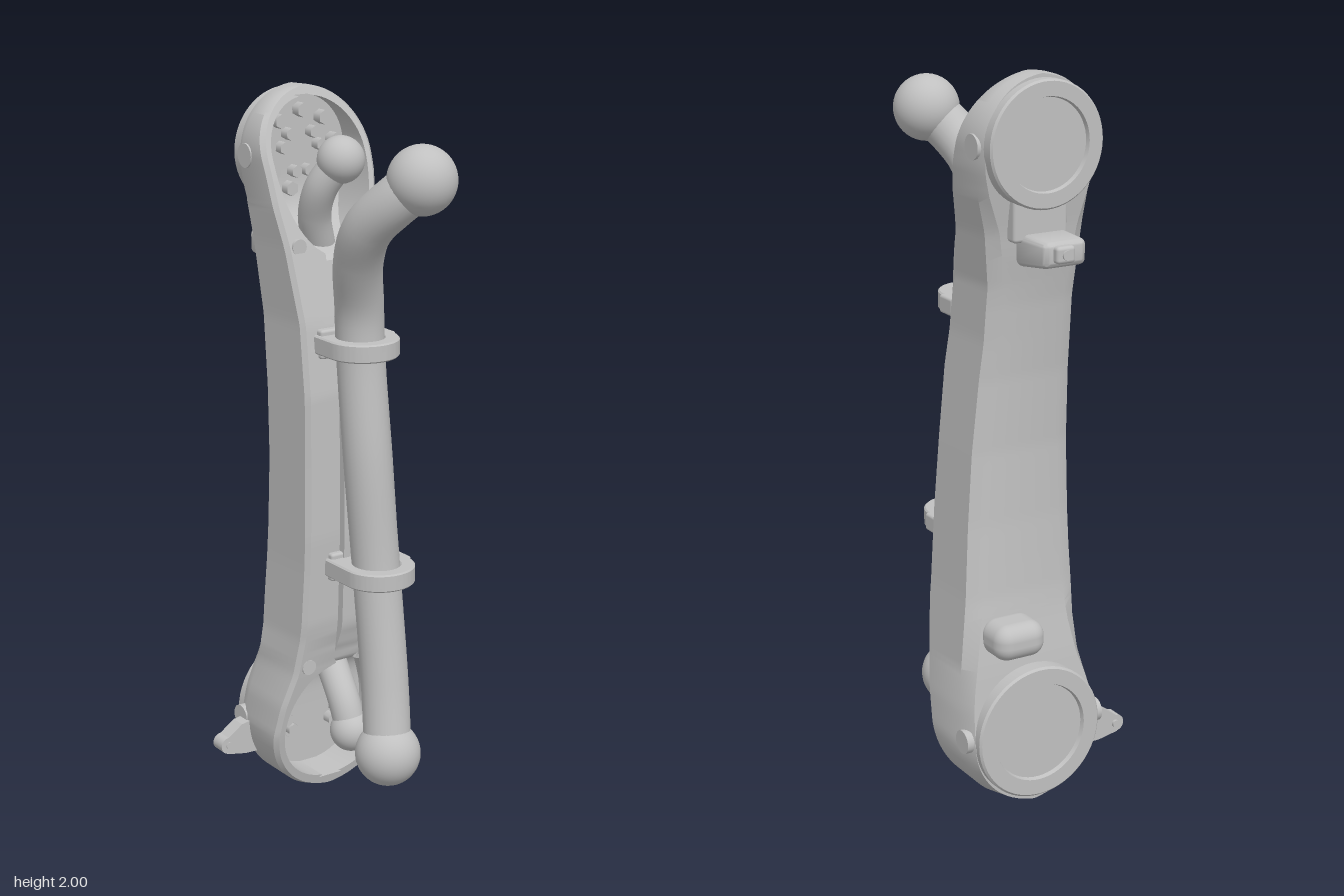
import * as THREE from 'three';
import { toCreasedNormals } from 'three/addons/utils/BufferGeometryUtils.js';
import { RoundedBoxGeometry } from 'three/addons/geometries/RoundedBoxGeometry.js';

const CX = 0.045, TOP = 1.825, BOTTOM = 0.215;
const V = (x, y, z) => new THREE.Vector3(x, y, z);

// Piecewise interpolation through [y, value] pairs
function curve(pairs) {
  return (y) => {
    let i = 0;
    while (i < pairs.length - 2 && y > pairs[i + 1][0]) i++;
    const [a, va] = pairs[i], [b, vb] = pairs[i + 1];
    return va + (vb - va) * THREE.MathUtils.clamp((y - a) / (b - a), 0, 1);
  };
}
const frontZ = curve([[0, -0.105], [0.2, -0.06], [0.4, -0.022], [0.55, 0], [0.8, 0.01], [1.2, 0.008], [1.4, -0.015], [1.6, -0.065], [1.8, -0.135], [2, -0.22]]);
const backZ = curve([[0, -0.265], [0.2, -0.272], [0.4, -0.25], [0.6, -0.222], [0.8, -0.208], [1, -0.202], [1.2, -0.208], [1.4, -0.225], [1.6, -0.25], [1.8, -0.285], [2, -0.285]]);
const rightX = curve([[0.215, 0.255], [0.3, 0.253], [0.4, 0.243], [0.6, 0.222], [1, 0.19], [1.3, 0.162], [1.45, 0.158], [1.6, 0.177], [1.7, 0.205], [1.77, 0.217], [1.825, 0.22]]);
const leftX = curve([[0.215, -0.165], [0.3, -0.153], [0.4, -0.123], [0.5, -0.11], [0.7, -0.103], [1, -0.1], [1.4, -0.1], [1.6, -0.114], [1.7, -0.125], [1.825, -0.13]]);
// Width and depth of the bevel along the back edge
const bevelX = curve([[0, 0.02], [0.35, 0.022], [0.6, 0.042], [1.4, 0.042], [1.6, 0.03], [1.75, 0.012], [2, 0.012]]);
const bevelZ = curve([[0, 0.05], [0.35, 0.045], [0.6, 0.022], [1.4, 0.022], [1.6, 0.024], [1.75, 0.03], [2, 0.03]]);

// Half width of the teardrop hollows and the height of their floor
function hollow(y) {
  const ends = [[TOP, 0.148, 0.15, 0.26, -0.25], [BOTTOM, 0.18, 0.2, 0.18, -0.21]];
  for (const [c, w, up, down, floor] of ends) {
    const t = (y - c) / (y > c ? up : down);
    if (Math.abs(t) >= 1) continue;
    const inward = (y > c) === (c === BOTTOM);
    return [w * Math.sqrt(1 - t * t), THREE.MathUtils.lerp(floor, frontZ(y), inward ? t ** 4 : 0)];
  }
  const t = THREE.MathUtils.clamp((y - 0.45) / 0.95, 0, 1);
  return [0.04, frontZ(y) + 0.022 * Math.min(1, 4 * Math.sin(Math.PI * t))];
}

// One cross-section of the arm, running left, front, right
function section(y) {
  let l = leftX(y), r = rightX(y);
  if (y < BOTTOM || y > TOP) {
    const [c, R] = y < BOTTOM ? [BOTTOM, 0.21] : [TOP, 0.175];
    const w = Math.sqrt(Math.max(0, R * R - (y - c) ** 2));
    l = CX - w; r = CX + w;
  }
  const half = (r - l) / 2, f = frontZ(y), b = backZ(y), side = b + bevelZ(y);
  const s = Math.min(bevelX(y), half * 0.5), e = Math.min(0.012, half * 0.3);
  let [w, floor] = hollow(y);
  w = Math.min(w, half * 0.6 + (half > 0.1 ? 0.4 * half - 0.02 : 0));
  return [[l + s, b], [l, side], [l, f - e], [l + e, f], [CX - w, f], [CX - w, floor],
    [CX + w, floor], [CX + w, f], [r - e, f], [r, f - e], [r, side], [r - s, b]];
}

function armGeometry() {
  const ys = [];
  for (let i = 0; i < 28; i++) ys.push(BOTTOM - 0.21 * Math.cos((i / 28) * Math.PI / 2));
  for (let i = 0; i < 90; i++) ys.push(BOTTOM + (TOP - BOTTOM) * i / 90);
  for (let i = 0; i <= 28; i++) ys.push(TOP + 0.175 * Math.sin((i / 28) * Math.PI / 2));
  const pos = [], idx = [], n = 12;
  ys.forEach((y, i) => {
    for (const [x, z] of section(y)) pos.push(x, y, z);
    if (!i) return;
    for (let j = 0; j < n; j++) {
      const a = (i - 1) * n + j, b = (i - 1) * n + (j + 1) % n;
      idx.push(a, b, b + n, a, b + n, a + n);
    }
  });
  const g = new THREE.BufferGeometry();
  g.setAttribute('position', new THREE.Float32BufferAttribute(pos, 3));
  g.setIndex(idx);
  return toCreasedNormals(g, 0.6);
}

export function createModel() {
  const root = new THREE.Group();
  root.name = 'armLink';
  const grey = new THREE.MeshStandardMaterial({ color: 0xc0c0c0 });
  grey.name = 'grey';
  const add = (name, geo, x = 0, y = 0, z = 0) => {
    const m = new THREE.Mesh(geo, grey);
    m.name = name;
    m.position.set(x, y, z);
    root.add(m);
    return m;
  };
  const rod = (r, h, sides = 16) => new THREE.CylinderGeometry(r, r, h, sides).rotateX(Math.PI / 2);

  add('armBody', armGeometry());

  // Joint flanges on the back
  for (const [y, R, z, h] of [[TOP, 0.165, -0.28, 0.036], [BOTTOM, 0.188, -0.265, 0.03]]) {
    const profile = [[R, -0.03], [R, h - 0.006], [R * 0.97, h], [R * 0.74, h], [R * 0.72, h - 0.012], [0, h - 0.012]]
      .map(([a, b]) => new THREE.Vector2(a, b));
    add('jointFlange', toCreasedNormals(new THREE.LatheGeometry(profile, 56).rotateX(-Math.PI / 2), 0.5), CX, y, z);
  }

  // Bolts in the hollows
  for (let i = 0; i < 9; i++) {
    const a = (i / 9) * Math.PI * 2 + Math.PI / 2;
    add('upperBolt', rod(0.02, 0.035, 6), CX + 0.108 * Math.cos(a), TOP + 0.108 * Math.sin(a), -0.238);
    if (i % 3) add('upperInnerBolt', rod(0.017, 0.035, 6), CX + 0.06 * Math.cos(a), TOP + 0.06 * Math.sin(a), -0.238);
  }
  for (const side of [-1, 1]) {
    for (let i = 0; i < 5; i++) {
      const a = -0.7 + i * 0.42;
      add('lowerBolt', rod(0.02, 0.035, 6), CX + side * 0.135 * Math.cos(a), BOTTOM + 0.135 * Math.sin(a), -0.198);
      if (i < 3) add('lowerInnerBolt', rod(0.018, 0.035, 6), CX + side * 0.09 * Math.cos(a), BOTTOM + 0.09 * Math.sin(a), -0.198);
    }
  }

  // Cover screws on the front and shallow round lugs on the sides
  for (const [x, y] of [[0.14, 1.61], [-0.075, 1.6], [0.185, 0.405], [-0.08, 0.42], [0.13, 0.62], [0.09, 1.44]])
    add('coverScrew', rod(y > 0.6 && y < 1.5 ? 0.013 : 0.022, 0.03), x, y, frontZ(y) - 0.011);
  for (const [y, R] of [[TOP, 0.168], [BOTTOM, 0.203]])
    for (const side of [-1, 1])
      add('sideLug', new THREE.CylinderGeometry(0.033, 0.033, 0.02, 20).rotateZ(Math.PI / 2), CX + side * R, y, -0.24);

  // Outer hose, inner hose ends and their ball ends
  const hose = (name, pts, r, balls) => {
    add(name, new THREE.TubeGeometry(new THREE.CatmullRomCurve3(pts), 60, r, 24));
    for (const [p, R] of balls) add(name + 'Ball', new THREE.SphereGeometry(R, 36, 24), p.x, p.y, p.z);
  };
  const top = V(0.043, 1.825, 0.318), low = V(0.042, 0.208, 0.19);
  hose('outerHose', [low, V(0.055, 0.4, 0.155), V(0.055, 0.72, 0.112), V(0.037, 1.05, 0.092), V(0.032, 1.34, 0.066),
    V(0.022, 1.46, 0.074), V(-0.015, 1.59, 0.122), V(-0.032, 1.69, 0.19), V(-0.005, 1.765, 0.265), top], 0.066,
  [[top, 0.091], [low, 0.091]]);
  const inTop = V(0.045, 1.825, -0.045), inLow = V(0.045, 0.21, 0.008);
  hose('upperInnerHose', [inTop, V(0.01, 1.75, -0.085), V(0.015, 1.67, -0.125), V(0.045, 1.58, -0.15)], 0.045, [[inTop, 0.064]]);
  hose('lowerInnerHose', [inLow, V(0.04, 0.29, -0.02), V(0.045, 0.38, -0.09)], 0.045, [[inLow, 0.06]]);

  // Hose clamps: a band around the hose with a foot on the arm and a side catch
  for (const [x, y, z, foot] of [[0.035, 1.345, 0.07, -0.03], [0.058, 0.715, 0.118, 0]]) {
    const R = 0.096, s = new THREE.Shape();
    s.absarc(0, 0, R, Math.PI, Math.PI * 2, false);
    s.lineTo(R, z - foot);
    s.lineTo(-R, z - foot);
    s.closePath();
    const hole = new THREE.Path();
    hole.absarc(0, 0, 0.063, 0, Math.PI * 2, true);
    s.holes.push(hole);
    const band = new THREE.ExtrudeGeometry(s, { depth: 0.042, bevelSize: 0.004, bevelThickness: 0.004, bevelSegments: 1, curveSegments: 24 });
    band.translate(0, 0, -0.021).rotateX(-Math.PI / 2);
    add('hoseClamp', toCreasedNormals(band, 0.5), x, y, z);
    add('clampCatch', new RoundedBoxGeometry(0.03, 0.05, 0.07, 2, 0.008), x + 0.094, y, z - 0.03);
    add('clampFoot', new RoundedBoxGeometry(0.16, 0.08, 0.03, 2, 0.008), x - 0.01, y, frontZ(y) + 0.004);
  }

  // Hooks on the back
  const wedge = new RoundedBoxGeometry(0.14, 0.09, 0.14, 3, 0.02);
  const p = wedge.attributes.position;
  for (let i = 0; i < p.count; i++) {
    const k = THREE.MathUtils.clamp(0.5 - p.getZ(i) / 0.14, 0, 1);
    p.setXYZ(i, p.getX(i) * (1 - 0.1 * k), p.getY(i) * (1 - 0.25 * k) + 0.008 * k, p.getZ(i));
  }
  wedge.computeVertexNormals();
  add('upperHookBase', toCreasedNormals(wedge, 0.6), 0.033, 1.552, -0.315);
  add('upperHookNub', new RoundedBoxGeometry(0.055, 0.045, 0.05, 2, 0.01), 0.043, 1.562, -0.38);
  add('upperHookPin', rod(0.013, 0.02), 0.043, 1.562, -0.4);
  add('upperHookNeck', new RoundedBoxGeometry(0.16, 0.12, 0.04, 2, 0.01), 0.045, 1.635, -0.265);
  add('lowerHook', new RoundedBoxGeometry(0.15, 0.1, 0.13, 5, 0.042), 0.115, 0.5, -0.265);

  // Side ear with its pin
  const ear = new THREE.Shape();
  ear.moveTo(-0.1, 0.115);
  ear.lineTo(-0.18, 0.118);
  ear.lineTo(-0.24, 0.13);
  ear.absarc(-0.235, 0.155, 0.024, -Math.PI / 2, -Math.PI * 1.5, true);
  ear.lineTo(-0.19, 0.21);
  ear.lineTo(-0.1, 0.225);
  ear.closePath();
  add('sideEar', new THREE.ExtrudeGeometry(ear, { depth: 0.045, bevelEnabled: false }), 0, 0, -0.242);
  add('earPin', rod(0.011, 0.055), -0.232, 0.155, -0.222);

  return root;
}
